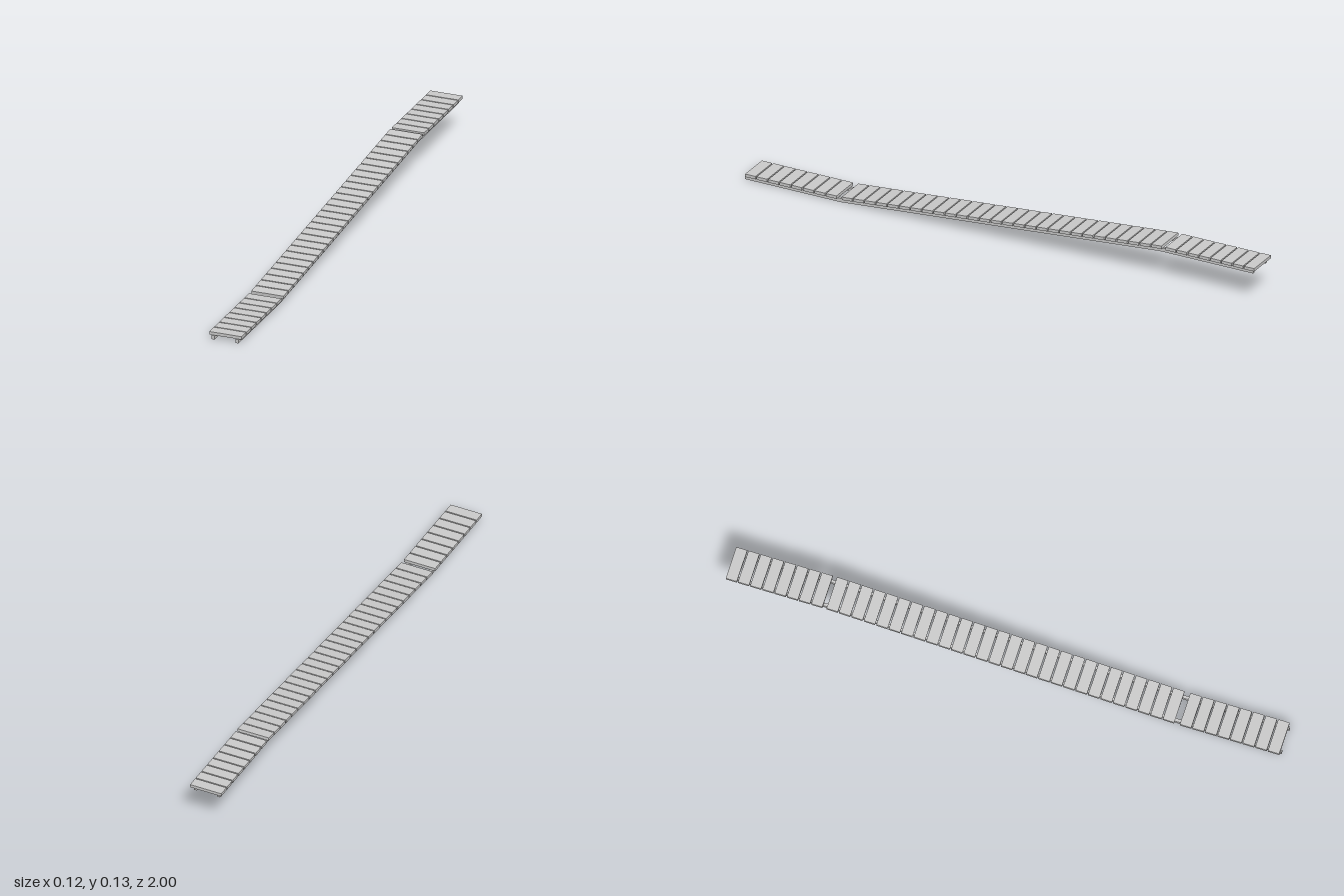
import * as THREE from 'three';

const BEAM_H = 0.014, PLANK_T = 0.011, RISE = 0.107, BEND = 0.625;
const SLOPE = Math.atan2(RISE, 2 * BEND);

// height of the walkway's underside at z
function heightAt(z) {
  return RISE * THREE.MathUtils.clamp((BEND - z) / (2 * BEND), 0, 1);
}

export function createModel() {
  const group = new THREE.Group();
  group.name = 'boardwalkRamp';
  const mat = new THREE.MeshStandardMaterial({ color: 0xcccccc, flatShading: true });

  // two bent support beams: a side profile extruded across x
  const line = [1, BEND, -BEND, -0.99].map(z => [z, heightAt(z)]);
  const profile = new THREE.Shape([
    ...line.map(([z, y]) => new THREE.Vector2(-z, y)),
    ...line.slice().reverse().map(([z, y]) => new THREE.Vector2(-z, y + BEAM_H)),
  ]);
  const beamGeo = new THREE.ExtrudeGeometry(profile, { depth: 0.011, bevelEnabled: false });
  beamGeo.translate(0, 0, -0.0055).rotateY(Math.PI / 2);
  for (const [name, x] of [['leftBeam', 0.0445], ['rightBeam', -0.0445]]) {
    const beam = new THREE.Mesh(beamGeo, mat);
    beam.name = name;
    beam.position.x = x;
    group.add(beam);
  }

  // evenly spaced planks over each stretch, with narrow gaps between
  function planks(name, count, zStart, zEnd, tilt) {
    const row = new THREE.Group();
    row.name = name;
    const gap = 0.0045;
    const width = (zStart - zEnd + gap) / count - gap;
    const geo = new THREE.BoxGeometry(0.12, PLANK_T, width / Math.cos(tilt));
    for (let i = 0; i < count; i++) {
      const plank = new THREE.Mesh(geo, mat);
      plank.name = 'plank';
      const z = zStart - width / 2 - i * (width + gap);
      plank.position.set(0, heightAt(z) + BEAM_H + PLANK_T / 2, z);
      plank.rotation.x = tilt;
      row.add(plank);
    }
    group.add(row);
  }
  planks('lowerPlanks', 8, 0.995, 0.637, 0);
  planks('slopePlanks', 28, 0.616, -0.637, SLOPE);
  planks('upperPlanks', 8, -0.652, -1, 0);

  return group;
}
